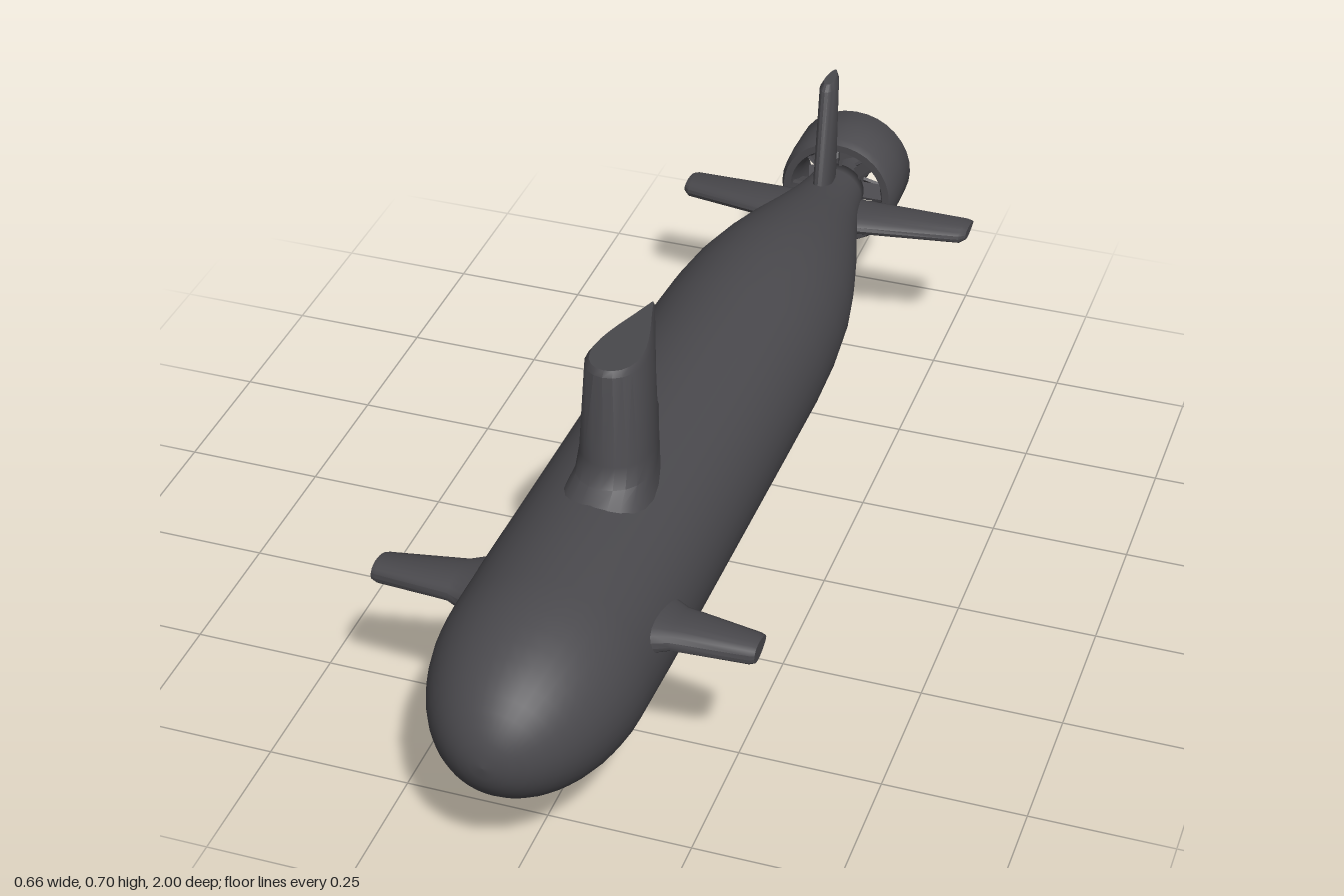
import * as THREE from 'three';
import { toCreasedNormals } from 'three/addons/utils/BufferGeometryUtils.js';

const steel = new THREE.MeshStandardMaterial({ color: 0x4a494d });
steel.name = 'darkSteel';

function add(parent, name, geometry) {
  const mesh = new THREE.Mesh(geometry, steel);
  mesh.name = name;
  parent.add(mesh);
  return mesh;
}

// Revolve [radius, z] points around the z axis, listed from stern to bow.
function turned(points, sides = 32) {
  const profile = points.map(([r, z]) => new THREE.Vector2(r, z));
  return new THREE.LatheGeometry(profile, sides).rotateX(Math.PI / 2);
}

// Foil rising along y through sections [height, zFront, zBack, halfThickness].
// taper narrows the trailing edge, tilt raises the leading edge of the last two sections.
function foil(sections, taper, tilt = 0, sides = 20) {
  const pos = [];
  const index = [];
  let widest = 0;
  const shape = (a) => Math.sin(a) * (1 + taper * Math.cos(a));
  for (let i = 0; i <= 90; i++) widest = Math.max(widest, shape((i / 90) * Math.PI));
  sections.forEach(([y, front, back, half], level) => {
    for (let i = 0; i < sides; i++) {
      const a = (i / sides) * Math.PI * 2;
      const c = Math.cos(a);
      const lift = level >= sections.length - 2 ? tilt * c : 0;
      pos.push((half * shape(a)) / widest, y + lift, (front + back) / 2 + (c * (front - back)) / 2);
      if (level > 0) {
        const p = (level - 1) * sides + i;
        const q = (level - 1) * sides + ((i + 1) % sides);
        index.push(p, q, q + sides, p, q + sides, p + sides);
      }
    }
  });
  // tip cap
  const last = sections[sections.length - 1];
  const base = (sections.length - 1) * sides;
  pos.push(0, last[0], (last[1] + last[2]) / 2);
  for (let i = 0; i < sides; i++) index.push(base + i, base + ((i + 1) % sides), base + sides);
  const g = new THREE.BufferGeometry();
  g.setAttribute('position', new THREE.Float32BufferAttribute(pos, 3));
  g.setIndex(index);
  return toCreasedNormals(g, 0.75);
}

export function createModel() {
  const model = new THREE.Group();
  model.name = 'submarine';

  // Hull: rounded bow, long middle, tapering stern; its axis drifts slightly
  const hullPoints = [
    [0, -0.86], [0.053, -0.86], [0.057, -0.83], [0.07, -0.76], [0.091, -0.68], [0.114, -0.6],
    [0.136, -0.51], [0.153, -0.42], [0.163, -0.32], [0.168, -0.2], [0.169, 0], [0.17, 0.3],
    [0.171, 0.6], [0.17, 0.72],
  ];
  for (let i = 1; i <= 12; i++) {
    const a = (i / 12) * (Math.PI / 2);
    hullPoints.push([i === 12 ? 0 : 0.17 * Math.cos(a), 0.72 + 0.28 * Math.sin(a)]);
  }
  const drift = new THREE.Matrix4().set(
    1.035, 0, -0.009, 0.003,
    0, 1, 0.0065, 0.297,
    0, 0, 1, 0,
    0, 0, 0, 1);
  add(model, 'hull', turned(hullPoints, 40).applyMatrix4(drift));

  // Sail with a flared foot at its leading edge
  const sail = add(model, 'sail', foil([
    [0.43, 0.56, 0.18, 0.085],
    [0.468, 0.525, 0.2, 0.069],
    [0.485, 0.49, 0.21, 0.064],
    [0.52, 0.474, 0.213, 0.061],
    [0.685, 0.47, 0.215, 0.049],
    [0.694, 0.462, 0.222, 0.042],
  ], 0.8, 0.008, 28));
  sail.position.x = 0.005;

  // Bow planes
  const bowPlane = foil([
    [0.12, 0.74, 0.52, 0.034],
    [0.165, 0.695, 0.56, 0.024],
    [0.19, 0.682, 0.575, 0.02],
    [0.32, 0.672, 0.6, 0.019],
    [0.329, 0.668, 0.604, 0.016],
  ], 0.3);
  for (const side of [1, -1]) {
    const plane = add(model, side > 0 ? 'leftBowPlane' : 'rightBowPlane', bowPlane);
    plane.rotation.z = (-side * Math.PI) / 2;
    plane.position.set(-0.002, 0.353 - side * 0.003, 0);
  }

  // Four tail fins in a cross
  const tailFin = foil([
    [0.03, -0.68, -0.835, 0.02],
    [0.08, -0.72, -0.835, 0.017],
    [0.275, -0.753, -0.832, 0.016],
    [0.286, -0.765, -0.828, 0.01],
  ], 0.3);
  ['upperRudder', 'rightSternPlane', 'lowerRudder', 'leftSternPlane'].forEach((name, i) => {
    const fin = add(model, name, tailFin);
    fin.rotation.z = (i * Math.PI) / 2;
    fin.position.set(0.011, 0.286, 0);
  });

  // Ducted propulsor: shroud, hub and two rows of blades
  const propulsor = new THREE.Group();
  propulsor.name = 'propulsor';
  propulsor.position.set(0.013, 0.286, 0);
  model.add(propulsor);
  add(propulsor, 'shroud', toCreasedNormals(turned([
    [0.097, -0.982], [0.11, -0.982], [0.116, -0.972], [0.117, -0.915], [0.115, -0.86],
    [0.108, -0.846], [0.094, -0.846], [0.084, -0.87], [0.08, -0.92], [0.088, -0.955], [0.097, -0.982],
  ]), 0.7));
  add(propulsor, 'hub', turned([
    [0, -1], [0.014, -0.998], [0.027, -0.989], [0.036, -0.974], [0.038, -0.958],
    [0.035, -0.94], [0.038, -0.91], [0.047, -0.87], [0.053, -0.85],
  ], 24));
  const rows = [['stator', 8, -0.872, 0.3], ['rotorBlade', 7, -0.925, -0.7]];
  for (const [name, count, z, pitch] of rows) {
    const blade = new THREE.BoxGeometry(0.006, 0.062, 0.04).rotateY(pitch).translate(0, 0.061, z);
    for (let i = 0; i < count; i++) {
      add(propulsor, name, blade).rotation.z = (i / count) * Math.PI * 2;
    }
  }

  return model;
}
